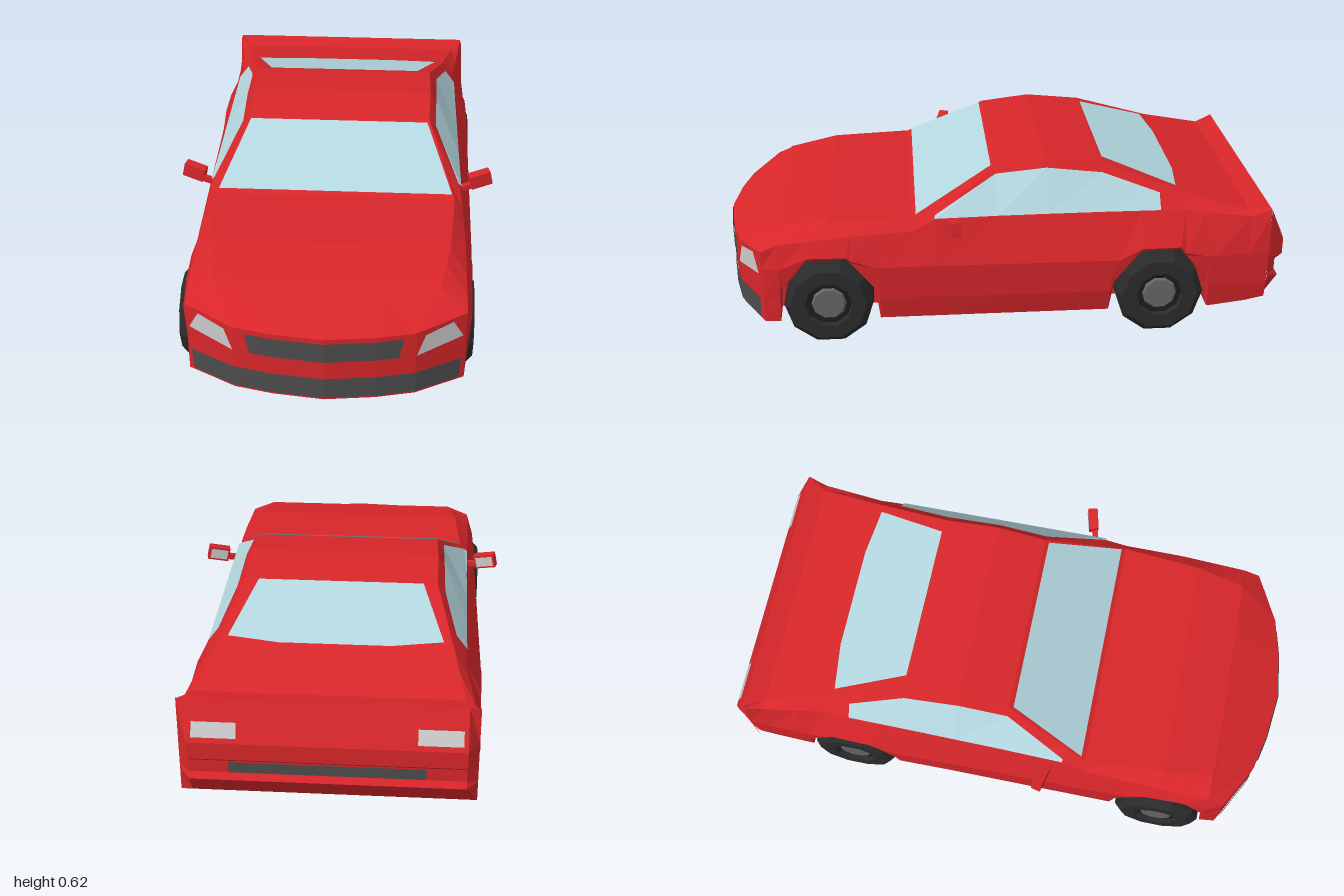
import * as THREE from 'three';

const mat = (color, side = THREE.FrontSide) => new THREE.MeshStandardMaterial({ color, flatShading: true, side });
const red = mat(0xd8262a), dark = mat(0x4c4c4c, THREE.DoubleSide), tyre = mat(0x2b2b2b);
const rimDark = mat(0x1c1c1c), hubGrey = mat(0x666666);
const glass = mat(0xb4d8e0, THREE.DoubleSide), lamp = mat(0xcccccc, THREE.DoubleSide);

// Interpolate rows of [key, a, b...]; keys descend
function at(table, k) {
  if (k >= table[0][0]) return table[0].slice(1);
  for (let i = 1; i < table.length; i++) {
    const p = table[i - 1], q = table[i];
    if (k >= q[0]) {
      const t = (p[0] - k) / (p[0] - q[0]);
      return p.slice(1).map((v, n) => v + (q[n + 1] - v) * t);
    }
  }
  return table[table.length - 1].slice(1);
}

// Surface through rows of points; it faces along (column direction) x (row direction)
function skin(rows) {
  const n = rows[0].length, index = [];
  for (let i = 0; i + 1 < rows.length; i++)
    for (let j = 0; j + 1 < n; j++) {
      const a = i * n + j, c = a + n;
      index.push(a, a + 1, c, a + 1, c + 1, c);
    }
  const g = new THREE.BufferGeometry();
  g.setAttribute('position', new THREE.Float32BufferAttribute(rows.flat(2), 3));
  g.setIndex(index);
  const flat = g.toNonIndexed();
  flat.computeVertexNormals();
  return flat;
}

// Same rows on the left (s = 1) or mirrored to the right (s = -1)
const sided = (rows, s) => {
  const r = rows.map(row => row.map(([x, y, z]) => [s * x, y, z]));
  return s < 0 ? r.reverse() : r;
};

// Body lines along z: [z, half width, height]
const EDGE = [[1, .30, .33], [.8, .38, .41], [.62, .41, .44], [.33, .43, .445], [.03, .335, .6], [-.15, .34, .62],
  [-.35, .34, .6], [-.64, .40, .5], [-.87, .44, .445], [-.94, .48, .46]];
const SHOULDER = [[1, .465, .35], [.8, .465, .375], [.55, .465, .4], [.33, .46, .41], [.25, .45, .45],
  [-.64, .44, .45], [-.87, .47, .43], [-.94, .485, .44]];
const WAIST = [[1, .465], [.8, .485], [.4, .495], [-.4, .503], [-.94, .49]];
const FLOOR = [[1, .08], [-.75, .08], [-.87, .095], [-.94, .11]];
const AXLES = [.63, -.55];
const ARCH = [[.18, .08], [.165, .2], [.07, .315], [-.07, .315], [-.165, .2], [-.18, .08]];
const archLine = AXLES.flatMap(c => ARCH.map(([d, y]) => [c + d, y]));

// Rounded nose in plan: setback by half width
const BULGE = [[.465, .14], [.3, .05], [.17, .02], [0, 0]];
const setback = x => at(BULGE, Math.abs(x))[0];
const noseZ = x => 1 - setback(x);

// Cross-section from top centre, down the left side, under the floor and back up
function section(z) {
  const [xe, ye] = at(EDGE, z), [xs, ys] = at(SHOULDER, z), [xw] = at(WAIST, z), [yb] = at(FLOOR, z);
  const ya = Math.max(yb, at(archLine, z)[0]);
  const front = THREE.MathUtils.clamp((z - .8) / .2, 0, 1);
  const xi = .36 - .06 * front, xl = .472 - .007 * front;
  const half = [[0, ye], [.17, ye], [xe, ye], [xs, ys], [xw, Math.max(.29, ya + .015)],
    [Math.max(xl, xw - .008), Math.max(.165, ya + .005)], [xl, ya], [xi, ya], [xi, yb], [.17, yb], [0, yb]];
  const ring = [...half, ...half.slice(0, -1).reverse().map(([x, y]) => [-x, y])];
  return ring.map(([x, y]) => [x, y, z - front * setback(x)]);
}

export function createModel() {
  const car = new THREE.Group();
  car.name = 'car';
  const add = (name, geo, material, parent = car) => {
    const m = new THREE.Mesh(geo, material);
    m.name = name;
    parent.add(m);
    return m;
  };

  // Shell with wheel arches and cabin
  const stations = [...new Set([...EDGE, ...SHOULDER, ...WAIST, ...FLOOR, ...archLine].map(r => r[0]))].sort((a, b) => b - a);
  add('body', skin(stations.map(section)), red);

  // Nose panel
  const cols = [-.465, -.3, -.17, 0, .17, .3, .465];
  const noseTop = x => Math.abs(x) > .4 ? .35 : .33;
  add('nose', skin([0, .5, 1].map(t => cols.map(x => [x, .08 + (noseTop(x) - .08) * t, noseZ(x)]))), red);

  // Tail panel with a groove and chamfered corners
  const tail = [[.46, -.94], [.33, -1], [.27, -1], [.25, -.975], [.205, -.975], [.185, -.99], [.11, -.94]];
  add('tail', skin(tail.map(([y, z]) => [[-.487, y, -.94], [-.45, y, z], [.45, y, z], [.487, y, -.94]])), red);
  add('tailStrip', skin([.247, .208].map(y => [[-.32, y, -.979], [.32, y, -.979]])), dark);

  // Grilles wrapped around the nose
  const onNose = (x, y) => [x, y, noseZ(x) + .005];
  add('upperGrille', skin([[.24, .245], [.315, .26]].map(([y, w]) => [-w, -.17, 0, .17, w].map(x => onNose(x, y)))), dark);
  add('lowerGrille', skin([[.09, .445], [.17, .453]].map(([y, w]) =>
    [-w, -.3, -.17, 0, .17, .3, w].map(x => onNose(x, y)))), dark);

  // Windscreen and rear window
  const onTop = (x, z) => [x, at(EDGE, z)[1] + .005, z];
  add('windscreen', skin([[.315, .42], [.045, .328]].map(([z, w]) => [onTop(-w, z), onTop(w, z)])), glass);
  add('rearWindow', skin([
    [-.29, -.1, .1, .29].map(x => onTop(x, -.356)),
    [-.365, -.19, .19, .365].map((x, i) => onTop(x, i % 3 ? -.638 : -.615)),
  ]), glass);

  // Side window, following the cabin side
  const onSide = (z, t) => {
    const [xs, ys] = at(SHOULDER, z), [xe, ye] = at(EDGE, z);
    return [xs + (xe - xs) * t + .006, ys + (ye - ys) * t + .003, z];
  };
  const sideWindow = [[-.55, .66], [-.35, .8], [-.15, .84], [.03, .83], [.25, .25]]
    .map(([z, t]) => [onSide(z, .02), onSide(z, t)]);

  for (const s of [1, -1]) {
    const side = s > 0 ? 'left' : 'right';
    add(side + 'Window', skin(sided(sideWindow, s)), glass);
    add(side + 'Headlight', skin(sided([[onNose(.302, .24), onNose(.455, .265)], [onNose(.33, .315), onNose(.42, .335)]], s)), lamp);
    const tailZ = y => -.944 - .06 * (.46 - y) / .13;
    add(side + 'TailLight', skin(sided([.395, .348].map(y => [[.29, y, tailZ(y)], [.435, y, tailZ(y)]]), s)), lamp);

    // Door mirror
    const mirror = new THREE.Group();
    mirror.name = side + 'Mirror';
    mirror.position.set(s * .525, .447, .185);
    mirror.rotation.set(0, s * .25, s * .22);
    car.add(mirror);
    add('mirrorHousing', new THREE.BoxGeometry(.08, .052, .035), red, mirror);
    add('mirrorStalk', new THREE.BoxGeometry(.075, .02, .02), red, mirror).position.set(-s * .06, -.012, .005);
    const face = add('mirrorGlass', new THREE.PlaneGeometry(.066, .038), lamp, mirror);
    face.position.z = -.019;
    face.rotation.y = Math.PI;

    // Ten-sided wheels
    AXLES.forEach((z, i) => {
      const wheel = new THREE.Group();
      wheel.name = side + (i ? 'Rear' : 'Front') + 'Wheel';
      wheel.position.set(s * .437 + (i ? .005 : -.007), .15, z);
      wheel.rotation.z = -s * Math.PI / 2;
      car.add(wheel);
      const lathe = pts => new THREE.LatheGeometry(pts.map(p => new THREE.Vector2(...p)), 10);
      add('tyre', lathe([[0, -.066], [.15, -.066], [.158, -.055], [.158, .045], [.135, .068], [.085, .068], [.08, .052]]), tyre, wheel);
      add('rim', lathe([[.08, .052], [.062, .05]]), rimDark, wheel);
      add('hub', lathe([[.062, .05], [.055, .058], [0, .058]]), hubGrey, wheel);
    });
  }
  return car;
}
